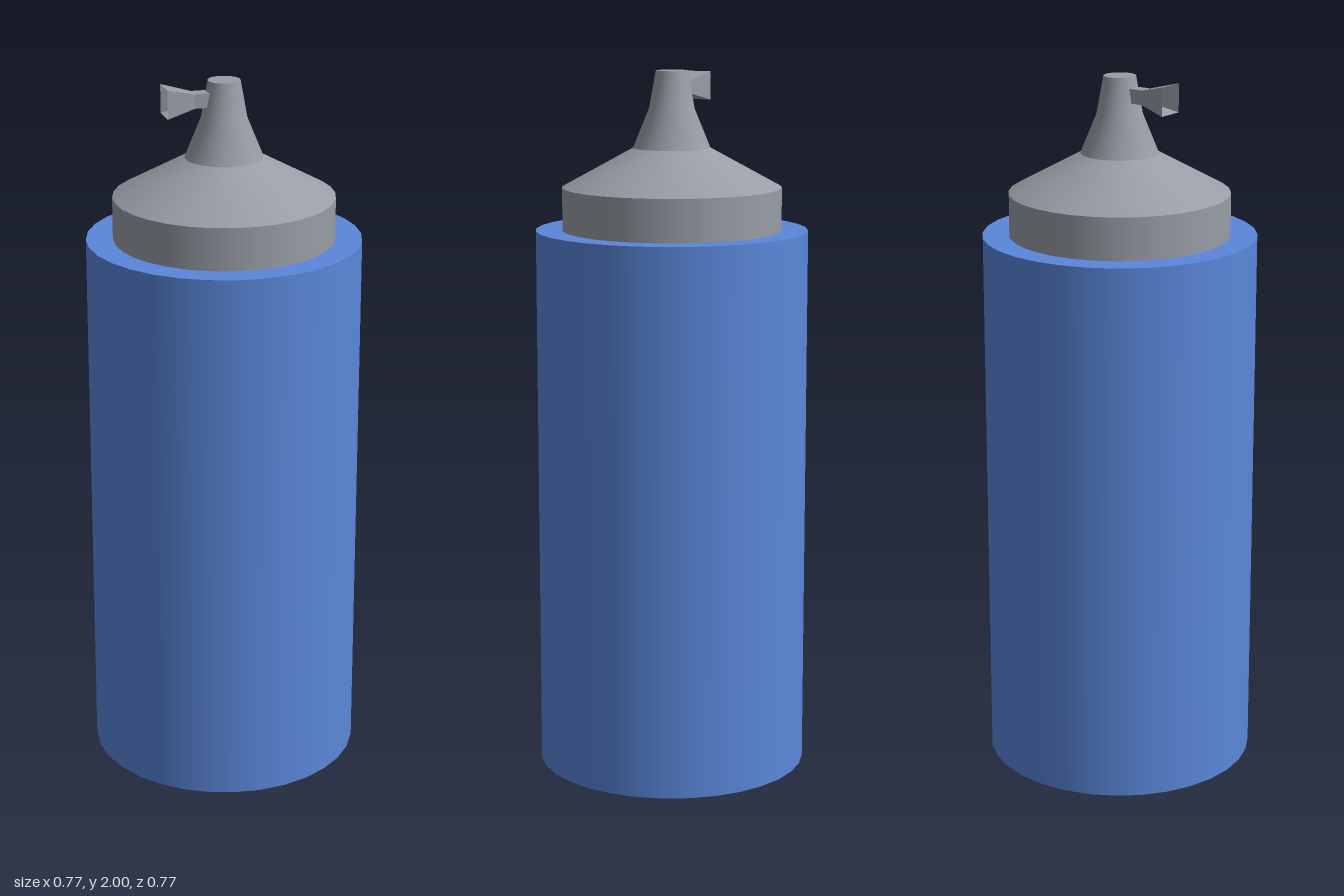
import * as THREE from 'three';

const SIDES = 32;

export function createModel() {
  const model = new THREE.Group();
  const blue = new THREE.MeshStandardMaterial({ name: 'bottleBlue', color: 0x5a87da });
  const grey = new THREE.MeshStandardMaterial({ name: 'capGrey', color: 0x989da6, side: THREE.DoubleSide });

  const add = (name, geometry, material, parent = model) => {
    const mesh = new THREE.Mesh(geometry, material);
    mesh.name = name;
    parent.add(mesh);
    return mesh;
  };

  // Plain cylindrical bottle
  add('bottle', new THREE.CylinderGeometry(0.385, 0.385, 1.555, SIDES), blue).position.y = 0.7775;

  // Cap: straight collar, sloped shoulder
  add('collar', new THREE.CylinderGeometry(0.31, 0.31, 0.12, SIDES, 1, true), grey).position.y = 1.615;
  add('shoulder', new THREE.CylinderGeometry(0.109, 0.31, 0.11, SIDES, 1, true), grey).position.y = 1.73;

  // Nozzle with a gently concave taper and a flat tip
  const profile = [[0.109, 1.785], [0.064, 1.895], [0.045, 2]].map(([r, y]) => new THREE.Vector2(r, y));
  add('nozzle', new THREE.LatheGeometry(profile, SIDES), grey);
  const tip = add('nozzleTip', new THREE.CircleGeometry(0.045, SIDES), grey);
  tip.rotation.x = -Math.PI / 2;
  tip.position.y = 2;

  // Spout: square tube on the right side, flaring to an open mouth
  const spout = new THREE.Group();
  spout.name = 'spout';
  spout.position.y = 1.95;
  model.add(spout);
  const squareTube = (name, xInner, xOuter, halfInner, halfOuter) => {
    const geometry = new THREE.CylinderGeometry(
      halfOuter * Math.SQRT2, halfInner * Math.SQRT2, xInner - xOuter, 4, 1, true)
      .rotateY(Math.PI / 4).rotateZ(Math.PI / 2).toNonIndexed();
    geometry.computeVertexNormals();
    add(name, geometry, grey, spout).position.x = (xInner + xOuter) / 2;
  };
  squareTube('spoutNeck', -0.04, -0.088, 0.02, 0.02);
  squareTube('spoutFlare', -0.088, -0.169, 0.02, 0.04);

  return model;
}
